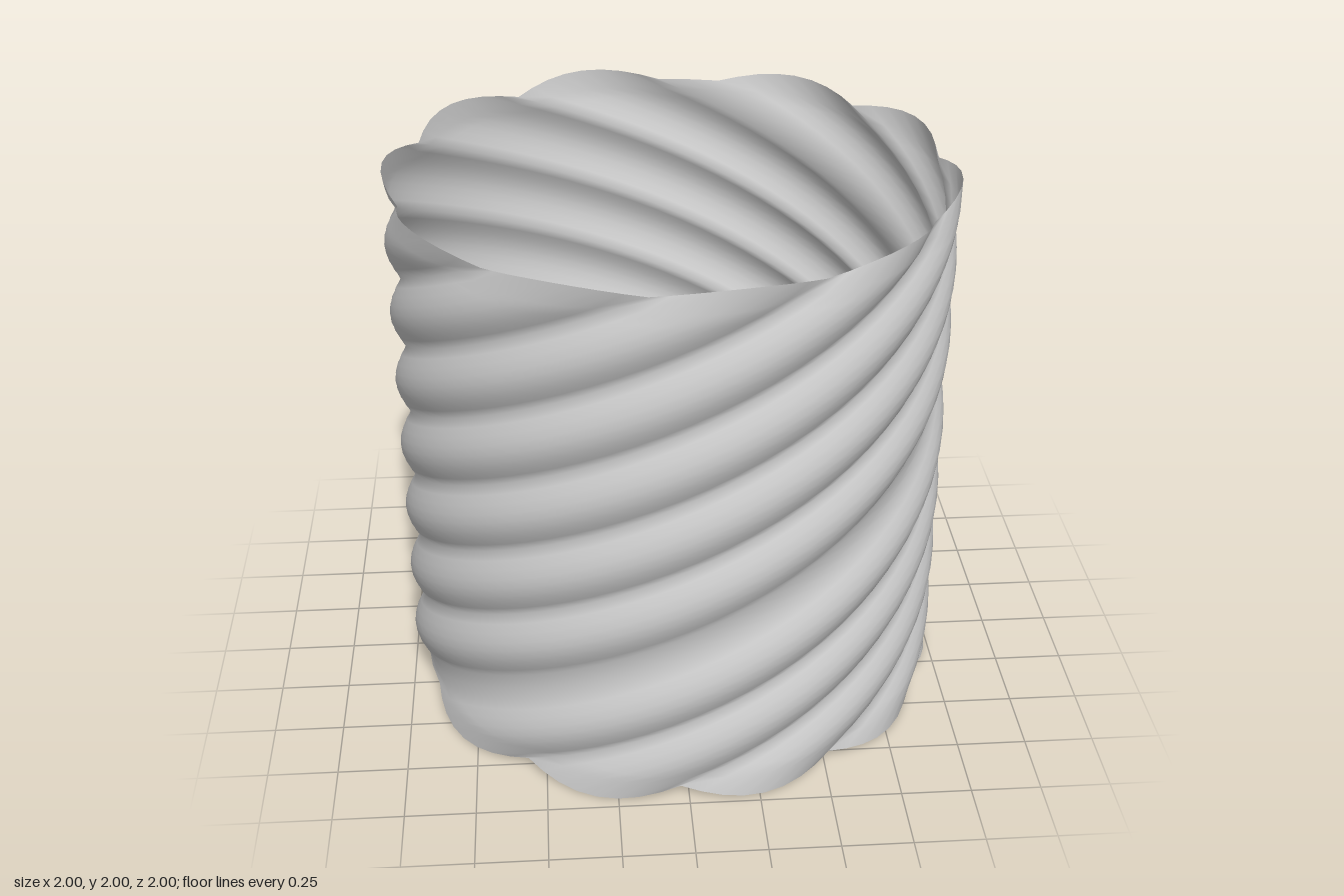
import * as THREE from 'three';

const RIDGES = 10, STEPS = 8, ROWS = 48;
const LOBE = 34.6;                       // degrees covered by one ridge
const GAP = 360 - RIDGES * LOBE;         // plain groove left between first and last ridge
const TWIST = 250, START = -78;          // degrees
const R_IN = 0.952, DEPTH = 0.046, RIM = 0.04;

// Cross-section: angle and ridge height (0..1) of each column
function ridgeColumns() {
  const cols = [];
  for (let i = 0; i < RIDGES; i++) {
    for (let j = 0; j < STEPS; j++) {
      const t = j / STEPS;
      cols.push({ angle: GAP / 2 + (i + t) * LOBE, h: Math.sin(Math.PI * t) });
    }
  }
  cols.push({ angle: 360 - GAP / 2, h: 0 }, { angle: 360, h: 0 });
  return cols;
}

// Open tube: the ridged cross-section is twisted as it rises
function twistedTube() {
  const cols = ridgeColumns(), n = cols.length;
  const positions = [], index = [];
  for (let r = 0; r <= ROWS; r++) {
    const k = r / ROWS;
    for (const { angle, h } of cols) {
      const a = THREE.MathUtils.degToRad(START + TWIST * k + angle);
      const radius = R_IN + DEPTH * h;
      let y = RIM + (2 - 2 * RIM) * k;
      // the ridges flare past both rims
      if (r === 0) y -= RIM * h;
      if (r === ROWS) y += RIM * h;
      positions.push(radius * Math.sin(a), y, radius * Math.cos(a));
    }
  }
  for (let r = 0; r < ROWS; r++) {
    for (let c = 0; c < n; c++) {
      const a = r * n + c, b = r * n + (c + 1) % n;
      index.push(a, b, b + n, a, b + n, a + n);
    }
  }
  const geometry = new THREE.BufferGeometry();
  geometry.setAttribute('position', new THREE.Float32BufferAttribute(positions, 3));
  geometry.setIndex(index);
  geometry.computeVertexNormals();
  return geometry;
}

export function createModel() {
  const group = new THREE.Group();
  group.name = 'twistedSleeve';
  const material = new THREE.MeshStandardMaterial({ color: 0xcccccc, side: THREE.DoubleSide });
  const wall = new THREE.Mesh(twistedTube(), material);
  wall.name = 'spiralRidgedWall';
  group.add(wall);
  return group;
}
